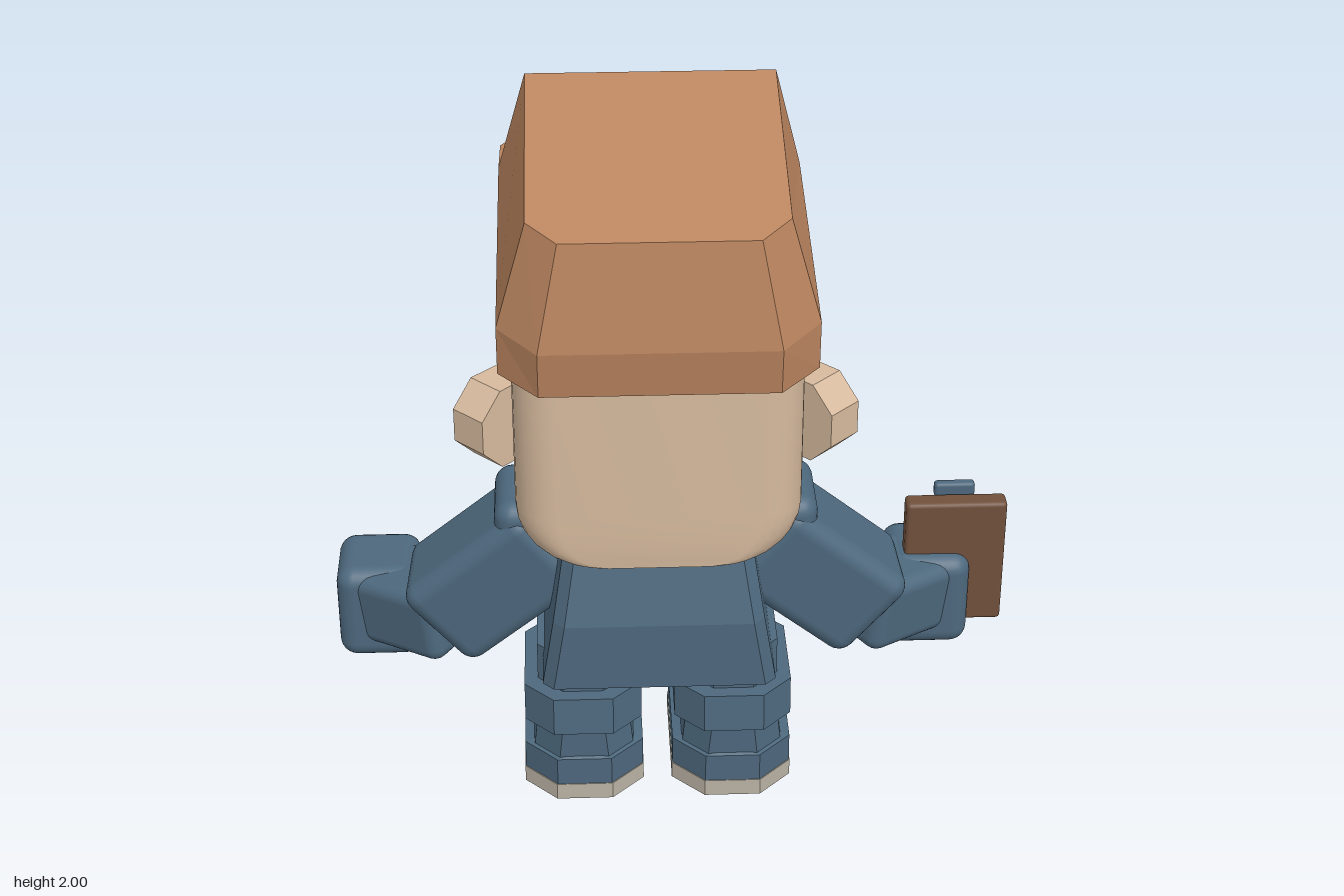
import * as THREE from 'three';
import { toCreasedNormals } from 'three/addons/utils/BufferGeometryUtils.js';
import { RoundedBoxGeometry } from 'three/addons/geometries/RoundedBoxGeometry.js';

const CX = -0.053; // symmetry plane of the body
const V = (x, y, z) => new THREE.Vector3(x, y, z);

function material(name, color) {
  const m = new THREE.MeshStandardMaterial({ color });
  m.name = name;
  return m;
}

// Horizontal rectangle with cut (n = 1) or rounded (n > 1) corners
function ring(y, x0, x1, z0, z1, r, n = 1) {
  const pts = [];
  const centres = [[x1 - r, z1 - r], [x0 + r, z1 - r], [x0 + r, z0 + r], [x1 - r, z0 + r]];
  centres.forEach(([cx, cz], k) => {
    for (let i = 0; i <= n; i++) {
      const a = (k + i / n) * Math.PI / 2;
      pts.push(V(cx + r * Math.cos(a), y, cz + r * Math.sin(a)));
    }
  });
  return pts;
}

// Closed solid through rings listed from bottom to top
function loft(rings, crease = 0) {
  const out = [];
  const tri = (a, b, c) => [a, b, c].forEach(p => out.push(p.x, p.y, p.z));
  const n = rings[0].length;
  for (let k = 0; k + 1 < rings.length; k++) {
    const L = rings[k], U = rings[k + 1];
    for (let i = 0; i < n; i++) {
      const j = (i + 1) % n;
      tri(L[i], U[i], U[j]);
      tri(L[i], U[j], L[j]);
    }
  }
  const B = rings[0], T = rings[rings.length - 1];
  for (let i = 1; i + 1 < n; i++) {
    tri(B[0], B[i], B[i + 1]);
    tri(T[0], T[i + 1], T[i]);
  }
  const g = new THREE.BufferGeometry();
  g.setAttribute('position', new THREE.Float32BufferAttribute(out, 3));
  g.computeVertexNormals();
  return crease ? toCreasedNormals(g, crease) : g;
}

// Rounded box stretched from p to q
function limb(p, q, height, depth, r) {
  const x = q.clone().sub(p), length = x.length();
  x.normalize();
  const y = V(0, 0, 1).cross(x).normalize();
  const z = x.clone().cross(y);
  const g = new RoundedBoxGeometry(length, height, depth, 3, r);
  g.applyMatrix4(new THREE.Matrix4().makeBasis(x, y, z));
  const c = p.clone().add(q).multiplyScalar(0.5);
  return g.translate(c.x, c.y, c.z);
}

export function createModel() {
  const model = new THREE.Group();
  model.name = 'workerFigure';
  const tan = material('capTan', 0xbc8660);
  const skin = material('skin', 0xd6ba9e);
  const blue = material('workBlue', 0x4d687d);
  const brown = material('darkBrown', 0x70503c);
  const pale = material('paleGrey', 0xbab3a4);

  const add = (name, geo, mat, x = 0, y = 0, z = 0) => {
    const m = new THREE.Mesh(geo, mat);
    m.name = name;
    m.position.set(x, y, z);
    model.add(m);
    return m;
  };
  const box = (name, w, h, d, mat, x, y, z) => add(name, new THREE.BoxGeometry(w, h, d), mat, x, y, z);

  // Head: rounded jaw at the sides, straight profile front and back
  const jaw = [];
  for (let i = 0; i <= 6; i++) {
    const a = i / 6 * Math.PI / 2;
    const hw = 0.375 - 0.13 * (1 - Math.sin(a));
    jaw.push(ring(0.87 + 0.15 * (1 - Math.cos(a)), CX - hw, CX + hw, -0.29, 0.52, 0.11, 6));
  }
  jaw.push(ring(1.6, CX - 0.375, CX + 0.375, -0.29, 0.52, 0.11, 6));
  add('head', loft(jaw, 0.7), skin);

  // Cap: crown with cut back corners, then the brim
  const under = z => 1.41 + (0.56 - z) * 0.158;
  const crown = (w, c, zf, yf, zs, ys, zb, yb) => [
    V(CX + w, yf, zf), V(CX + w, ys, zs), V(CX + c, yb, zb),
    V(CX - c, yb, zb), V(CX - w, ys, zs), V(CX - w, yf, zf)];
  add('capCrown', loft([
    crown(0.408, 0.305, -0.24, under(-0.24), 0.46, under(0.46), 0.56, 1.41),
    crown(0.408, 0.305, -0.24, 1.675, 0.47, 1.56, 0.58, 1.54),
    crown(0.328, 0.25, -0.11, 2.0, 0.47, 1.85, 0.55, 1.83)]), tan);
  const brim = y => [[0.408, -0.24], [-0.408, -0.24], [-0.408, -0.46],
    [-0.305, -0.575], [0.305, -0.575], [0.408, -0.46]].map(([x, z]) => V(CX + x, y(z), z));
  add('capBrim', loft([brim(under),
    brim(z => z > -0.3 ? 1.675 : z > -0.5 ? 1.64 : 1.66)]), tan);

  // Moustache arch and mouth
  const arch = new THREE.Shape([[-0.165, 0.99], [-0.07, 0.99], [-0.055, 1.065], [0.055, 1.065],
    [0.07, 0.99], [0.165, 0.99], [0.155, 1.06], [0.085, 1.155], [-0.085, 1.155], [-0.155, 1.06]]
    .map(([x, y]) => new THREE.Vector2(x, y)));
  add('moustache', new THREE.ExtrudeGeometry(arch, { depth: 0.08, bevelEnabled: false }), brown, CX, 0, -0.37);
  box('mouth', 0.1, 0.035, 0.008, blue, CX, 1.025, -0.292);

  // Torso with sloping shoulders and back
  add('torso', loft([
    ring(0.44, -0.37, 0.265, -0.09, 0.455, 0.03),
    ring(0.64, -0.338, 0.232, -0.09, 0.455, 0.03),
    ring(0.88, -0.30, 0.194, -0.09, 0.395, 0.03)]), blue);
  const neck = new THREE.Shape([[-0.11, 0.875], [0, 0.77], [0.11, 0.875]]
    .map(([x, y]) => new THREE.Vector2(x, y)));
  add('undershirt', new THREE.ExtrudeGeometry(neck, { depth: 0.008, bevelEnabled: false }), brown, CX, 0, -0.098);
  box('nameTag', 0.09, 0.035, 0.012, pale, CX + 0.16, 0.78, -0.135);

  // Paired parts
  for (const s of [1, -1]) {
    const side = s > 0 ? 'left' : 'right';
    const P = (x, y, z) => V(CX + s * x, y, z);

    const ear = new THREE.CylinderGeometry(0.124, 0.124, 0.11, 8);
    ear.rotateY(Math.PI / 8).rotateX(Math.PI / 2);
    add(side + 'Ear', toCreasedNormals(ear, 0.3), skin, CX + s * 0.414, 1.165, 0.22).rotation.y = s * Math.PI * 0.75;

    const eye = new THREE.CylinderGeometry(0.065, 0.065, 0.008, 20);
    add(side + 'Eye', eye.rotateX(Math.PI / 2), blue, CX + s * 0.185, 1.235, -0.291);
    add(side + 'Pocket', new RoundedBoxGeometry(0.13, 0.09, 0.022, 2, 0.01), blue, CX + s * 0.165, 0.655, -0.115);

    // Arm from shoulder to fist
    add(side + 'Shoulder', new RoundedBoxGeometry(0.26, 0.25, 0.27, 3, 0.05), blue, CX + s * 0.31, 0.775, 0.13);
    add(side + 'UpperArm', limb(P(0.27, 0.775, 0.14), P(0.61, 0.485, 0.11), 0.3, 0.28, 0.05), blue);
    add(side + 'Forearm', limb(P(0.55, 0.485, 0.14), P(0.79, 0.455, -0.04), 0.22, 0.24, 0.04), blue);
    add(side + 'Hand', new RoundedBoxGeometry(0.235, 0.29, 0.245, 3, 0.05), blue, CX + s * 0.78, 0.435, -0.04);

    // Leg, rolled cuff and boot
    const c = CX + s * 0.208;
    const R = (y, hw, z0, z1, r) => ring(y, c - hw, c + hw, z0, z1, r);
    add(side + 'Leg', loft([
      R(0.12, 0.14, -0.02, 0.36, 0.07),
      R(0.27, 0.125, 0.0, 0.36, 0.07),
      R(0.47, 0.125, 0.0, 0.35, 0.07)]), blue);
    add(side + 'Cuff', loft([
      R(0.25, 0.162, -0.01, 0.405, 0.08),
      R(0.36, 0.162, -0.02, 0.395, 0.08)]), blue);
    add(side + 'Boot', loft([
      R(0.05, 0.166, -0.147, 0.368, 0.09),
      R(0.135, 0.166, -0.147, 0.368, 0.09),
      R(0.14, 0.14, -0.135, 0.36, 0.09),
      R(0.2, 0.11, -0.01, 0.33, 0.07)]), blue);
    add(side + 'Sole', loft([
      R(0, 0.168, -0.15, 0.37, 0.09),
      R(0.05, 0.168, -0.15, 0.37, 0.09)]), pale);
  }

  // Clipboard held in the left hand
  add('clipboard', new RoundedBoxGeometry(0.285, 0.39, 0.062, 2, 0.012), brown, 0.8, 0.547, 0.006);
  box('paper', 0.23, 0.33, 0.008, pale, 0.8, 0.54, -0.029);
  for (let i = 0; i < 4; i++) {
    box('writtenLine', i % 2 ? 0.11 : 0.15, 0.012, 0.006, blue, i % 2 ? 0.82 : 0.8, 0.67 - i * 0.06, -0.034);
  }
  add('clip', new RoundedBoxGeometry(0.115, 0.045, 0.03, 2, 0.01), blue, 0.8, 0.748, -0.042);

  // Small tool poking out of the right fist
  box('toolShaft', 0.022, 0.07, 0.022, pale, -0.833, 0.275, -0.05);
  box('toolTip', 0.06, 0.022, 0.022, pale, -0.815, 0.256, -0.05);
  return model;
}
